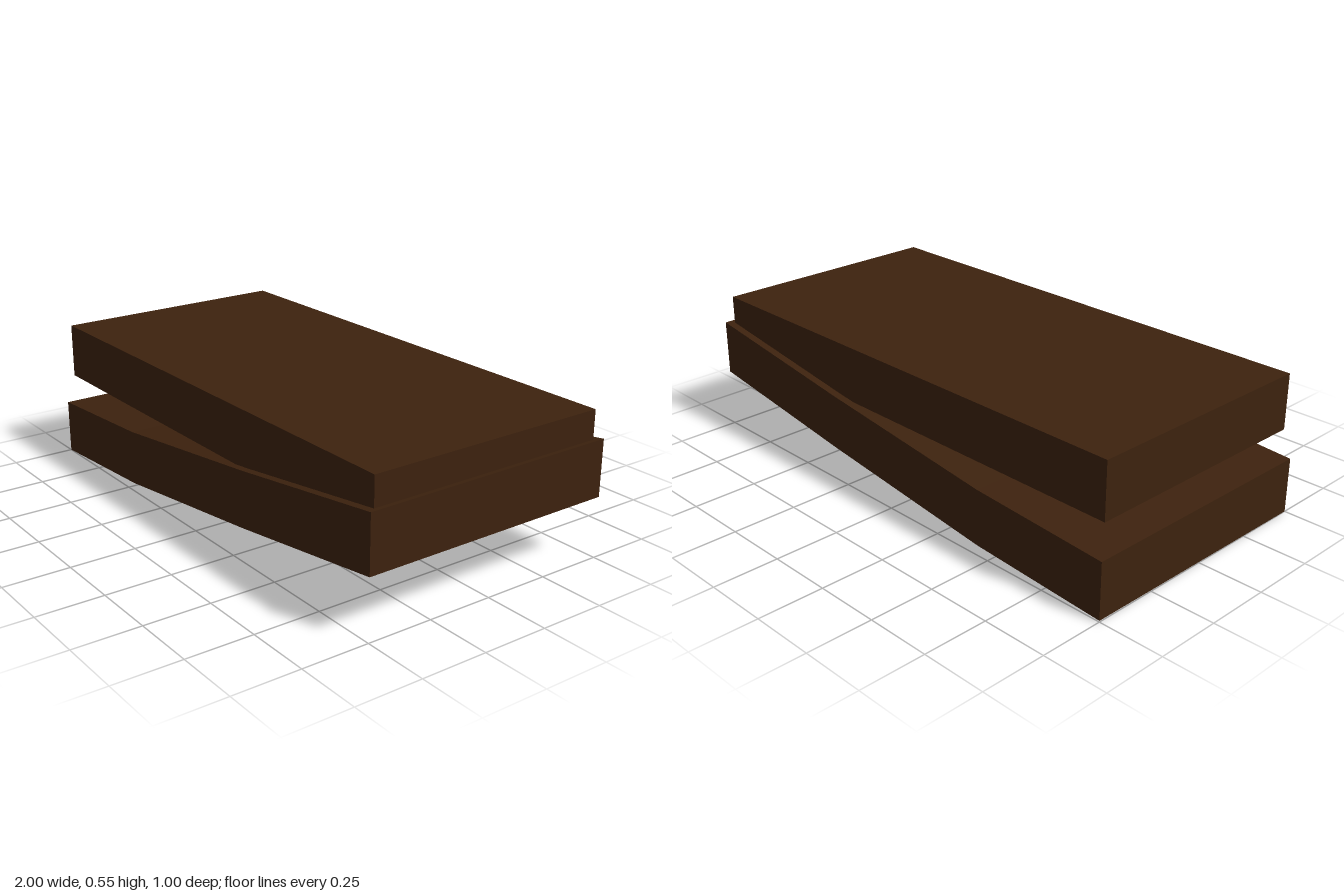
import * as THREE from 'three';

const HEIGHT = 0.212; // wall height of both shells

// Open-bottomed thin shell; stations are [x, y of the lower rim] from -x to +x
function shell(name, stations, zBack, zFront, material) {
  const n = stations.length - 1;
  const geo = new THREE.BoxGeometry(n, 1, 1, n, 1, 1);

  // leave out the downward face so the shell is hollow
  const bottom = geo.groups[3];
  const index = Array.from(geo.index.array);
  index.splice(bottom.start, bottom.count);
  geo.setIndex(index);
  geo.clearGroups();

  // bend the box along its stations, with a very slight sideways tilt
  const p = geo.attributes.position;
  for (let i = 0; i < p.count; i++) {
    const [x, y] = stations[Math.round(p.getX(i) + n / 2)];
    const z = p.getZ(i) > 0 ? zFront : zBack;
    p.setXYZ(i, x, y + (p.getY(i) > 0 ? HEIGHT : 0) - 0.0045 * z, z);
  }
  geo.computeVertexNormals();

  const mesh = new THREE.Mesh(geo, material);
  mesh.name = name;
  return mesh;
}

export function createModel() {
  const darkWood = new THREE.MeshStandardMaterial({
    color: 0x3d220e, flatShading: true, side: THREE.DoubleSide,
  });
  darkWood.name = 'dark wood brown';

  const model = new THREE.Group();
  model.name = 'stackedShells';

  // bent lower shell, rising towards +x
  model.add(shell('lowerShell',
    [[-1, 0.004], [-0.45, 0.038], [0.31, 0.131], [1, 0.228]], -0.5, 0.5, darkWood));

  // level upper shell, sunk into the raised end of the lower one
  model.add(shell('upperShell',
    [[-0.98, 0.3335], [0.98, 0.3335]], -0.47, 0.472, darkWood));

  return model;
}
